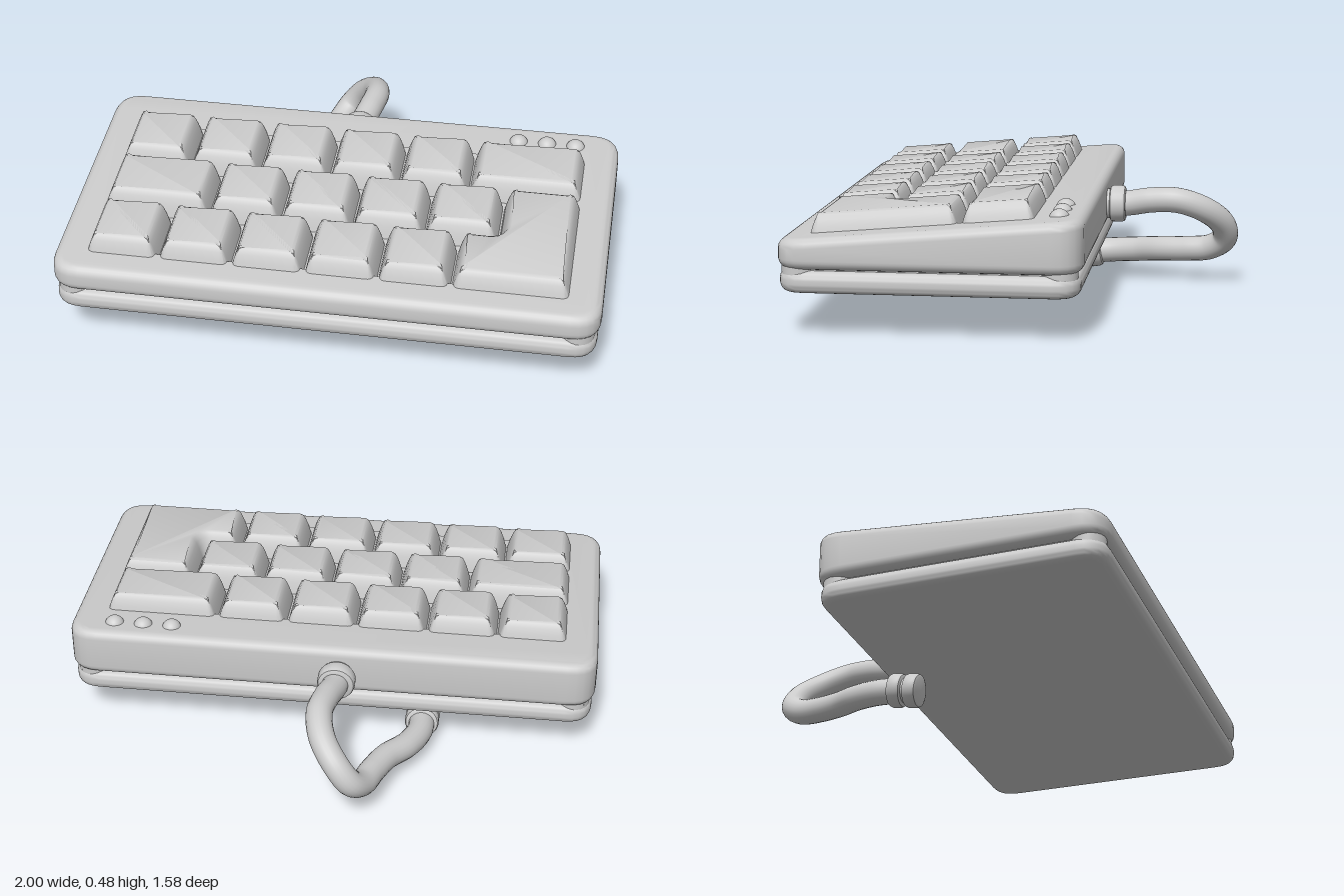
import * as THREE from 'three';
import { toCreasedNormals } from 'three/addons/utils/BufferGeometryUtils.js';

const material = new THREE.MeshStandardMaterial({ color: 0xcccccc });
const SLOPE = 0.085;
const deckY = (z) => 0.345 + SLOPE * (0.75 - z); // height of the sloping top

// Trace a closed outline of [x, z] corners, rounding each one
function trace(path, corners, r) {
  const pts = corners.map(([x, z]) => new THREE.Vector2(x, -z));
  pts.forEach((p, i) => {
    const toward = (q) => p.clone().add(q.clone().sub(p).setLength(r));
    const a = toward(pts[(i + pts.length - 1) % pts.length]);
    const b = toward(pts[(i + 1) % pts.length]);
    if (i === 0) path.moveTo(a.x, a.y);
    else path.lineTo(a.x, a.y);
    path.quadraticCurveTo(p.x, p.y, b.x, b.y);
  });
  path.closePath();
  return path;
}

const rect = (x0, x1, z0, z1) => [[x0, z0], [x1, z0], [x1, z1], [x0, z1]];

// Extrude upward with a bevel that stays inside the outline; y starts at -bevelThickness
function slab(shape, depth, bevelSize, bevelThickness) {
  return new THREE.ExtrudeGeometry(shape, {
    depth, bevelSize, bevelThickness, bevelOffset: -bevelSize, bevelSegments: 6, curveSegments: 6,
  }).rotateX(-Math.PI / 2);
}

// Change each vertex height by a rule
function reshape(geometry, rule) {
  const p = geometry.attributes.position;
  for (let i = 0; i < p.count; i++) p.setY(i, rule(p.getY(i), p.getZ(i)));
  return geometry;
}

function add(parent, name, geometry, crease = 0.6) {
  const mesh = new THREE.Mesh(crease ? toCreasedNormals(geometry, crease) : geometry, material);
  mesh.name = name;
  parent.add(mesh);
  return mesh;
}

// Keycap: flared sides, rounded top that follows the slope of the deck
function keycap(corners) {
  const height = 0.1, depth = 0.01, sink = 0.033;
  const g = slab(trace(new THREE.Shape(), corners, 0.035), depth, 0.045, height);
  return reshape(g, (y, z) => {
    const u = Math.max(0, y - depth) / height;
    return deckY(z) - sink + height * u * u;
  });
}

// Ringed collar along +z, with softened edges
function collar(radius, length) {
  const h = length / 2, b = 0.014;
  const profile = [[0, -h], [radius - b, -h], [radius - b * 0.3, -h + b * 0.3], [radius, -h + b],
    [radius, h - b], [radius - b * 0.3, h - b * 0.3], [radius - b, h], [0, h]];
  return new THREE.LatheGeometry(profile.map((p) => new THREE.Vector2(...p)), 28).rotateX(Math.PI / 2);
}

export function createModel() {
  const model = new THREE.Group();
  model.name = 'keyboard';

  // Lower and upper halves of the case
  const base = slab(trace(new THREE.Shape(), rect(-0.99, 0.99, -0.275, 0.785), 0.1), 0.014, 0.033, 0.033);
  add(model, 'caseBase', base.translate(0, 0.188, 0));

  const outline = trace(new THREE.Shape(), rect(-1, 1, -0.285, 0.79), 0.11);
  outline.holes.push(trace(new THREE.Path(), rect(-0.892, 0.892, -0.118, 0.698), 0.03));
  const frame = slab(outline, 0.035, 0.035, 0.035).translate(0, 0.275, 0);
  add(model, 'caseFrame', reshape(frame, (y, z) => (y > 0.29 ? y + SLOPE * (0.75 - z) : y)));

  // Inset seam between the halves, bridged at the corners
  add(model, 'seam', new THREE.BoxGeometry(1.92, 0.06, 1.0).translate(0, 0.24, 0.253));
  for (const x of [-0.915, 0.915]) {
    for (const z of [-0.2, 0.71]) {
      add(model, 'cornerSpacer', new THREE.CylinderGeometry(0.065, 0.065, 0.05, 24).translate(x, 0.238, z));
    }
  }

  // Sloped floor of the key well
  const floor = new THREE.BoxGeometry(1.84, 0.04, 0.87).translate(0, 0, 0.29);
  add(model, 'keyWellFloor', reshape(floor, (y, z) => y + deckY(z) - 0.05));

  // Keys, row by row from the back
  const keys = new THREE.Group();
  keys.name = 'keys';
  model.add(keys);
  const rows = [
    { z: [-0.113, 0.155], x: [-0.887, -0.617, -0.349, -0.08, 0.188, 0.455, 0.885] },
    { z: [0.158, 0.422], x: [-0.887, -0.486, -0.217, 0.053, 0.323, 0.595] },
    { z: [0.427, 0.693], x: [-0.887, -0.617, -0.349, -0.08, 0.188, 0.455] },
  ];
  for (const { z, x } of rows) {
    for (let i = 0; i + 1 < x.length; i++) {
      add(keys, 'key', keycap(rect(x[i] + 0.002, x[i + 1] - 0.002, z[0], z[1])));
    }
  }
  add(keys, 'cornerKey', keycap([
    [0.598, 0.158], [0.885, 0.158], [0.885, 0.693], [0.457, 0.693], [0.457, 0.427], [0.598, 0.427],
  ]));

  // Indicator lights
  for (const x of [0.612, 0.722, 0.832]) {
    add(model, 'indicatorLight', new THREE.SphereGeometry(0.037, 24, 16).translate(x, 0.412, -0.19), 0);
  }

  // Cable looping from the back edge to beneath the case
  const path = new THREE.CatmullRomCurve3([
    [-0.035, 0.325, -0.26], [-0.033, 0.327, -0.36], [-0.012, 0.345, -0.46], [0, 0.347, -0.56],
    [-0.025, 0.31, -0.66], [-0.085, 0.245, -0.73], [-0.135, 0.18, -0.737], [-0.172, 0.136, -0.68],
    [-0.2, 0.122, -0.59], [-0.242, 0.112, -0.49], [-0.31, 0.095, -0.39], [-0.348, 0.083, -0.29],
    [-0.352, 0.075, -0.2], [-0.352, 0.068, -0.14],
  ].map((p) => new THREE.Vector3(...p)));
  add(model, 'cable', new THREE.TubeGeometry(path, 110, 0.049, 20), 0);

  // Collars at the case end and the plug end of the cable
  add(model, 'cableSocket', collar(0.058, 0.04).translate(-0.035, 0.325, -0.29));
  add(model, 'cableCollar', collar(0.071, 0.062).translate(-0.035, 0.325, -0.326));
  for (const [name, y, z] of [['plugCollar', 0.077, -0.208], ['plugEnd', 0.067, -0.145]]) {
    const ring = add(model, name, collar(0.065, 0.056));
    ring.position.set(-0.352, y, z);
    ring.rotation.x = 0.17;
  }
  return model;
}
